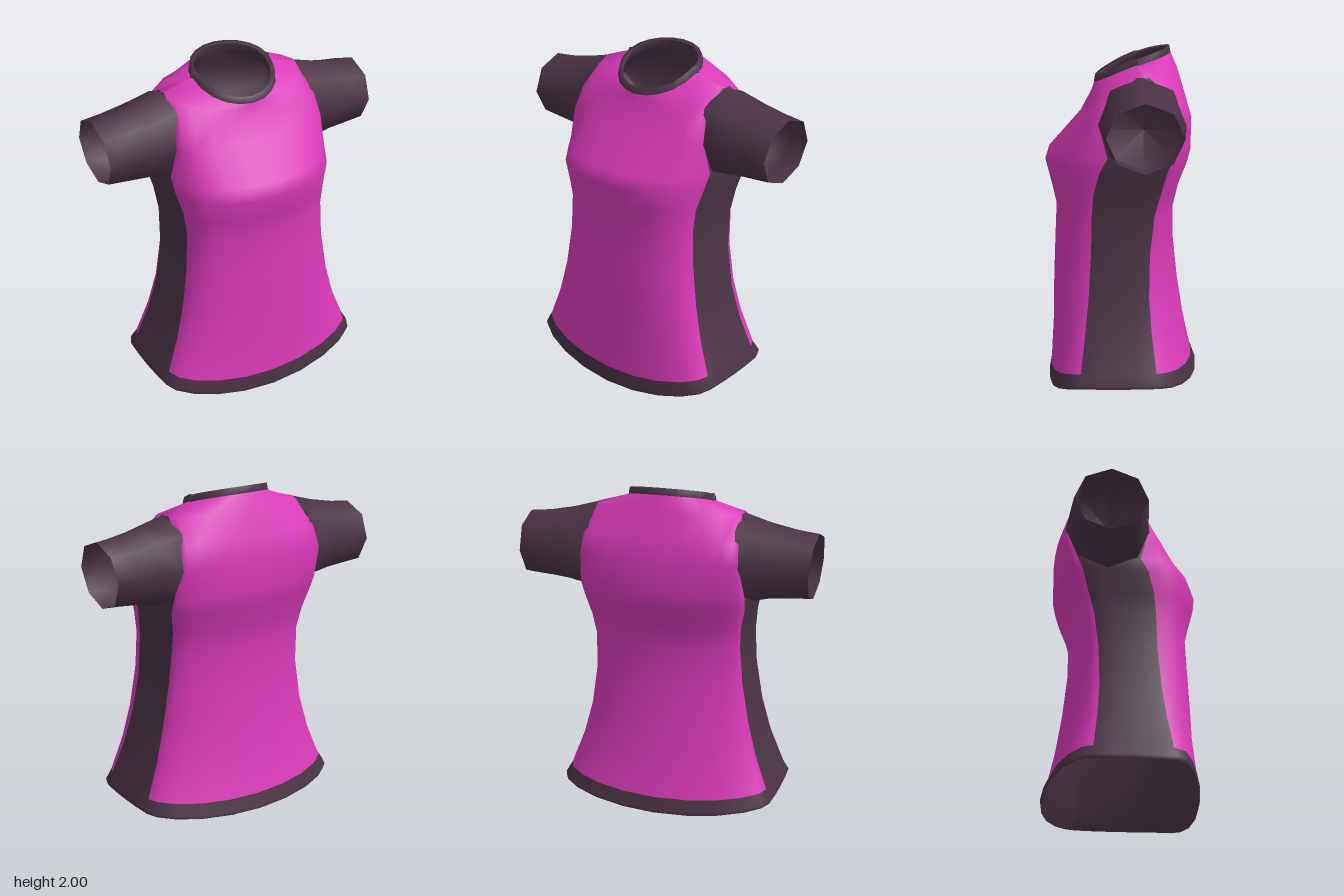
import * as THREE from 'three';

const FRONT = 10, SIDE = 4;               // columns in the front/back panels and side panels
const COLS = 2 * (FRONT + SIDE);

// Horizontal ring: front arc, left side, back arc, right side.
// x is the seam position, zf and zb its front and back depth;
// p shapes how the height runs from the sides to the centre front and back.
function ring(y, yF, yB, zF, x, zf, zb, zB, p) {
  const pts = [];
  const arc = (z, zMid, yMid, dir, q) => {
    for (let i = 0; i < FRONT; i++) {
      const t = (i / FRONT - 0.5) * Math.PI, c = Math.max(0, Math.cos(t));
      pts.push([dir * x * Math.sin(t), y + (yMid - y) * c ** p, z + (zMid - z) * c ** q]);
    }
  };
  const side = (s, z0, z1) => {
    for (let i = 0; i < SIDE; i++) {
      const u = i / SIDE;
      pts.push([s * (x + 0.04 * u * (1 - u)), y, z0 + (z1 - z0) * u]);
    }
  };
  arc(zf, zF, yF, 1, 0.88);
  side(1, zf, zb);
  arc(zb, zB, yB, -1, 1.1);
  side(-1, zb, zf);
  return pts;
}

// Ring shrunk towards the body axis and moved by dy
const inset = (pts, k, dy) => pts.map(([x, y, z]) => [x * k, y + dy, -0.07 + (z + 0.07) * k]);

// All points gathered in one, to close a loft
const tip = (pts, centre) => pts.map(() => centre);

// Skin over rings; slotOf(row, column) picks the material slot
function loft(rings, flip = false, slotOf = () => 0) {
  const n = rings[0].length, slots = [[], []];
  for (let r = 0; r < rings.length - 1; r++) {
    for (let j = 0; j < n; j++) {
      const a = r * n + j, b = r * n + (j + 1) % n, c = b + n, d = a + n;
      slots[slotOf(r, j)].push(...(flip ? [a, c, b, a, d, c] : [a, b, c, a, c, d]));
    }
  }
  const g = new THREE.BufferGeometry();
  g.setAttribute('position', new THREE.Float32BufferAttribute(rings.flat(2), 3));
  g.setIndex(slots.flat());
  g.addGroup(0, slots[0].length, 0);
  g.addGroup(slots[0].length, slots[1].length, 1);
  g.computeVertexNormals();
  return g;
}

export function createModel() {
  const group = new THREE.Group();
  const pink = new THREE.MeshStandardMaterial({ color: 0xd93ab8 });
  pink.name = 'magenta cloth';
  const dark = new THREE.MeshStandardMaterial({ color: 0x4a3344 });
  dark.name = 'dark plum cloth';
  const add = (name, geometry, material) => {
    const mesh = new THREE.Mesh(geometry, material);
    mesh.name = name;
    group.add(mesh);
  };

  // Trunk rows: y, zFront, seam x, seam zFront, seam zBack, zBack
  const trunk = [
    [0.115, 0.438, 0.648, 0.25, -0.21, -0.448],
    [0.135, 0.443, 0.656, 0.25, -0.21, -0.45],
    [0.195, 0.43, 0.622, 0.24, -0.19, -0.42],
    [0.40, 0.415, 0.545, 0.215, -0.165, -0.37],
    [0.60, 0.41, 0.492, 0.195, -0.15, -0.335],
    [0.85, 0.40, 0.453, 0.18, -0.155, -0.308],
    [1.07, 0.39, 0.443, 0.175, -0.18, -0.305],
    [1.20, 0.42, 0.455, 0.165, -0.215, -0.335],
    [1.33, 0.455, 0.485, 0.13, -0.25, -0.385],
    [1.41, 0.43, 0.49, 0.085, -0.285, -0.405],
    [1.60, 0.25, 0.477, 0.135, -0.345, -0.405],
    [1.72, 0.185, 0.456, 0.09, -0.305, -0.37],
  ].map(([y, zF, x, zf, zb, zB]) => {
    const dip = Math.max(0, (0.6 - y) * 0.237);     // hem drops at front and back
    return ring(y, y - dip, y - 0.4 * dip, zF, x, zf, zb, zB, 2);
  });
  const shoulder = ring(1.855, 1.76, 1.87, 0.17, 0.432, -0.08, -0.145, -0.325, 1.3);
  const neck = ring(1.905, 1.79, 1.96, 0.163, 0.252, -0.08, -0.10, -0.285, 1);

  // Magenta front, back and yoke; dark hem and side panels
  const HEM_ROWS = 2;
  const isSide = j => (j >= FRONT && j < FRONT + SIDE) || j >= COLS - SIDE;
  const slotOf = (r, j) => (r < HEM_ROWS || (r < trunk.length && isSide(j)) ? 1 : 0);
  add('shirtBody', loft([...trunk, shoulder, neck], false, slotOf), [pink, dark]);

  // Hollow inside of the skirt, closed at the waist
  const skirt = trunk.slice(2, 8).map(pts => inset(pts, 0.975, 0));
  add('skirtLining', loft([trunk[0], ...skirt, tip(neck, [0, 1.26, 0])], true), dark);

  // Collar band, tilted down to the front, and the hollow below it
  const rim = inset(neck, 0.88, 0.03);
  add('collar', loft([neck, inset(neck, 0.97, 0.04), rim]), dark);
  const chest = [inset(neck, 0.88, -0.02), inset(shoulder, 0.94, -0.03), inset(trunk[10], 0.95, 0)];
  add('neckLining', loft([rim, ...chest, tip(neck, [0, 1.4, -0.02])].reverse(), true), dark);

  // Sleeve rows: xTop, xBottom, yTop, yBottom, zFront, zBack
  const sleeveRows = [
    [0.42, 0.48, 1.86, 1.335, 0.142, -0.355],
    [0.59, 0.60, 1.812, 1.366, 0.12, -0.345],
    [0.74, 0.74, 1.782, 1.38, 0.108, -0.335],
    [0.868, 0.845, 1.768, 1.387, 0.095, -0.325],
  ];
  for (const [s, label] of [[1, 'left'], [-1, 'right']]) {
    const rings = sleeveRows.map(([xT, xB, yT, yB, zF, zB]) =>
      Array.from({ length: 8 }, (_, i) => {
        const a = i * Math.PI / 4, up = (1 + Math.cos(a)) / 2, fwd = (1 + Math.sin(a)) / 2;
        return [s * (xB + (xT - xB) * up), yB + (yT - yB) * up, zB + (zF - zB) * fwd];
      }));
    add(label + 'Sleeve', loft(rings, s < 0), dark);
    // Hollow inside of the sleeve, closed near the armhole
    const hollow = rings.slice(1).map(pts => pts.map(([x, y, z], i, all) => {
      const k = all === rings[3] ? 1 : 0.97;
      return [x, 1.58 + (y - 1.58) * k, -0.115 + (z + 0.115) * k];
    }));
    hollow.unshift(tip(rings[0], [s * 0.52, 1.58, -0.115]));
    add(label + 'SleeveLining', loft(hollow, s > 0), dark);
  }
  return group;
}
